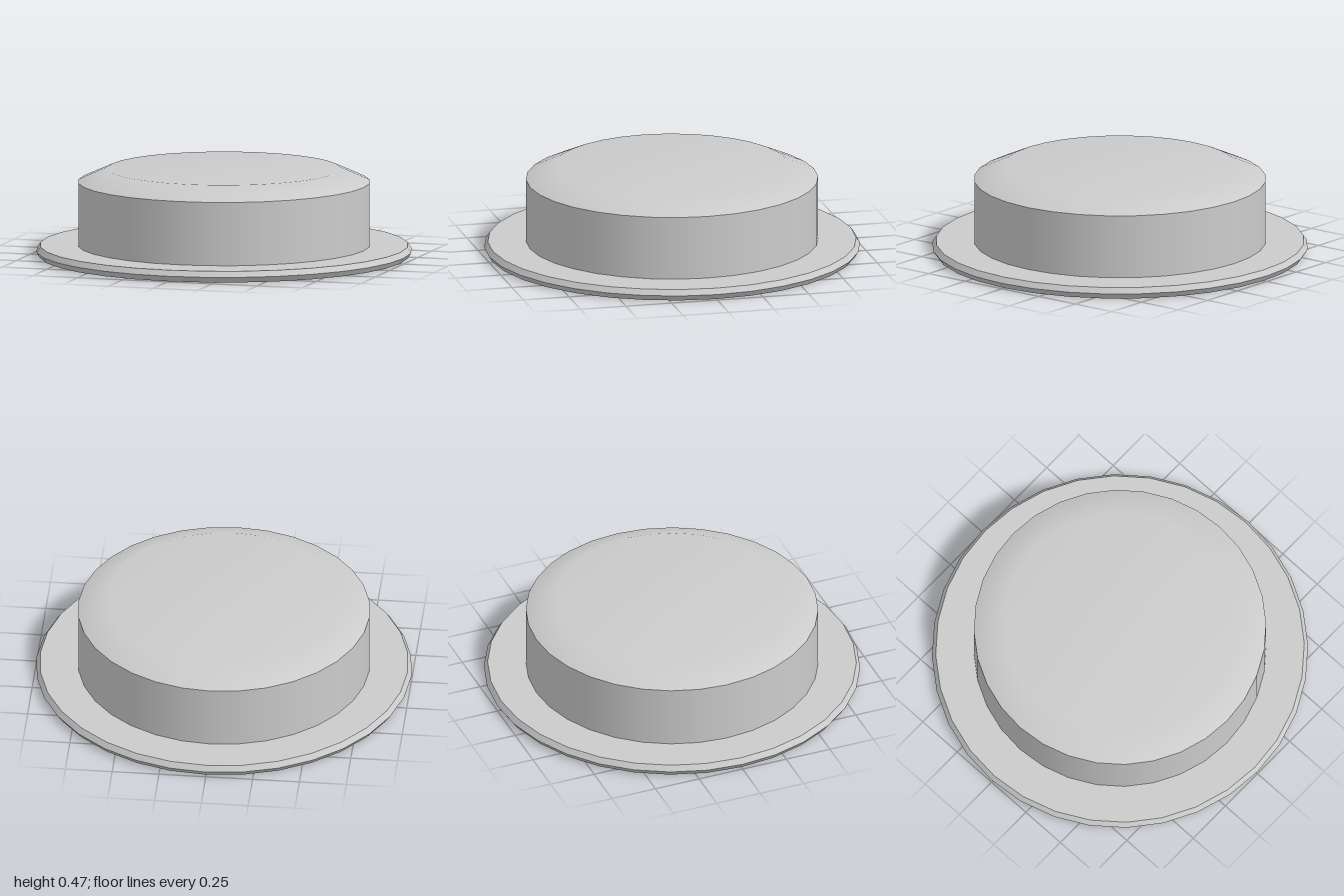
import * as THREE from 'three';
import { mergeGeometries } from 'three/addons/utils/BufferGeometryUtils.js';

const SIDES = 32;

// Each band is smooth within itself; edges between bands stay sharp.
function turned(name, bands, material) {
  const parts = bands.map((band) =>
    new THREE.LatheGeometry(band.map(([r, y]) => new THREE.Vector2(r, y)), SIDES));
  const mesh = new THREE.Mesh(mergeGeometries(parts), material);
  mesh.name = name;
  return mesh;
}

export function createModel() {
  const group = new THREE.Group();
  group.name = 'flangedCap';
  const material = new THREE.MeshStandardMaterial({ color: 0xcccccc });

  // Thin base disc with a bevelled rim
  group.add(turned('flange', [
    [[0, 0], [0.98, 0]],
    [[0.98, 0], [1, 0.03]],
    [[1, 0.03], [0.98, 0.06]],
    [[0.98, 0.06], [0, 0.06]],
  ], material));

  // Upright drum wall
  group.add(turned('drumWall', [
    [[0.777, 0.06], [0.777, 0.4]],
  ], material));

  // Softly shaded top with a sloping shoulder
  group.add(turned('drumTop', [
    [[0.777, 0.4], [0.62, 0.47], [0, 0.47]],
  ], material));

  return group;
}
